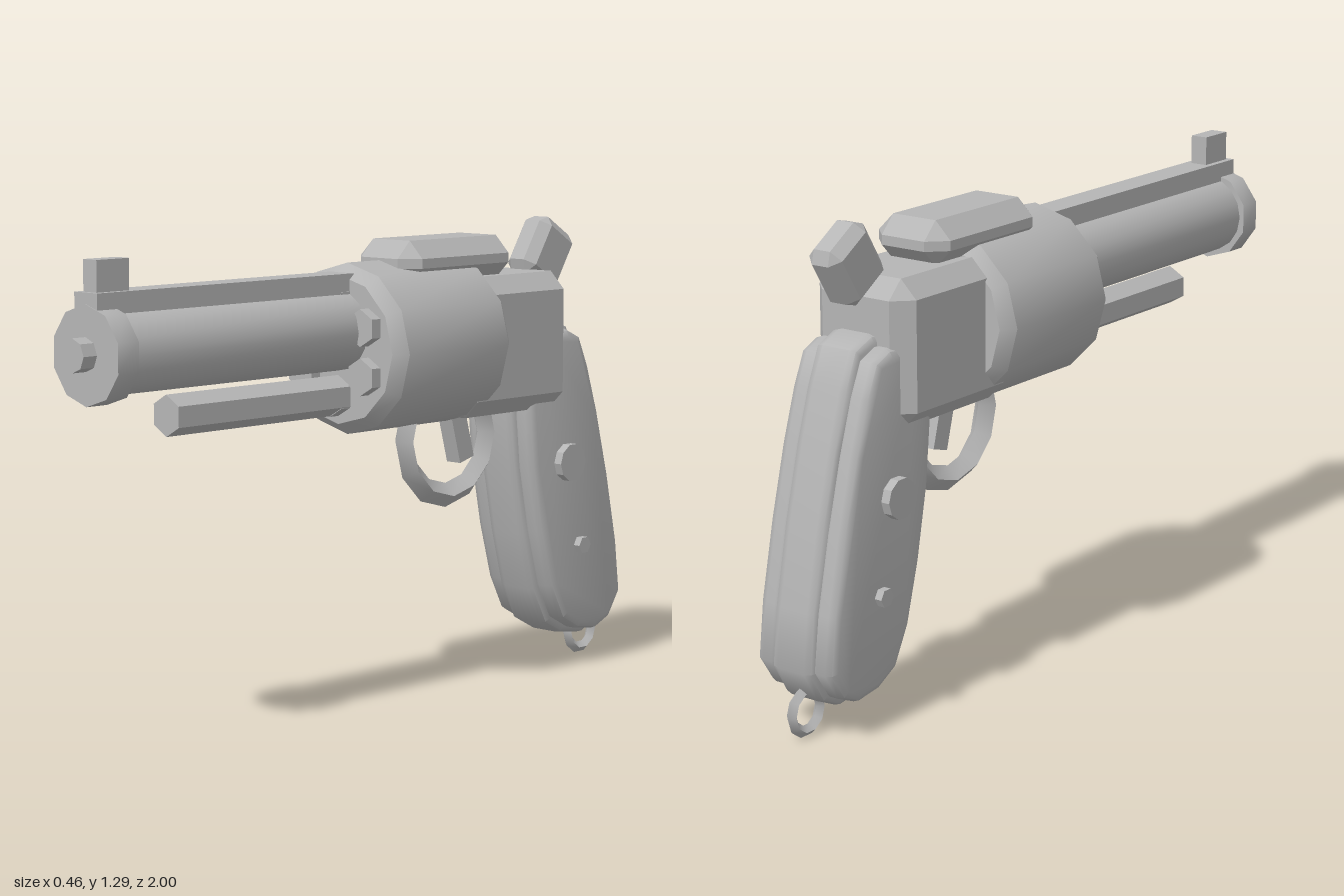
import * as THREE from 'three';
import { toCreasedNormals } from 'three/addons/utils/BufferGeometryUtils.js';
import { ConvexGeometry } from 'three/addons/geometries/ConvexGeometry.js';

export function createModel() {
  const group = new THREE.Group();
  const steel = new THREE.MeshStandardMaterial({ color: 0xb5b5b5 });
  steel.name = 'grey';

  const add = (name, geometry, x = 0, y = 0, z = 0) => {
    const mesh = new THREE.Mesh(geometry, steel);
    mesh.name = name;
    mesh.position.set(x, y, z);
    group.add(mesh);
    return mesh;
  };

  // Closed turned shape along z from [radius, z] pairs, running back to front
  const turned = (profile, sides) => {
    const pts = profile.map(([r, z]) => new THREE.Vector2(r, z));
    return toCreasedNormals(new THREE.LatheGeometry(pts, sides).rotateX(Math.PI / 2), 0.66);
  };
  const rod = (r, z0, z1, sides) => turned([[0, z0], [r, z0], [r, z1], [0, z1]], sides);

  // Box with all edges cut at 45 degrees
  const chamferBox = (w, h, d, c) => {
    const pts = [];
    for (const i of [-1, 1]) for (const j of [-1, 1]) for (const k of [-1, 1]) {
      const x = w / 2, y = h / 2, z = d / 2;
      pts.push(
        new THREE.Vector3(i * x, j * (y - c), k * (z - c)),
        new THREE.Vector3(i * (x - c), j * y, k * (z - c)),
        new THREE.Vector3(i * (x - c), j * (y - c), k * z));
    }
    return new ConvexGeometry(pts);
  };

  // Bevelled slab of a [z, y] outline, centred on x = 0
  const slab = (outline, width, bevel, size) => {
    const shape = new THREE.Shape(outline.map(([z, y]) => new THREE.Vector2(z, y)));
    const g = new THREE.ExtrudeGeometry(shape, {
      depth: width - 2 * bevel, bevelThickness: bevel, bevelSize: size,
      bevelOffset: -size, bevelSegments: 2, steps: 1,
    });
    g.translate(0, 0, bevel - width / 2).rotateY(-Math.PI / 2);
    return toCreasedNormals(g, 0.8);
  };

  // Ring of diamond section in the zy plane
  const ring = (r, tube, sides) =>
    toCreasedNormals(new THREE.TorusGeometry(r, tube, 4, sides).rotateY(Math.PI / 2), 0.75);

  // Barrel, muzzle, rib and sight
  add('barrel', rod(0.108, 0, 0.92, 16), 0, 1.027);
  add('muzzleRing', rod(0.127, 0.89, 0.957, 10), 0, 1.025);
  add('muzzleTip', rod(0.043, 0.94, 1, 8), 0, 1.028);
  add('barrelRib', new THREE.BoxGeometry(0.085, 0.1, 0.89), 0, 1.13, 0.51);
  add('frontSight', new THREE.BoxGeometry(0.05, 0.1, 0.105), 0, 1.21, 0.888);
  add('ejectorRod', rod(0.054, 0, 0.695, 6), 0, 0.853);

  // Drum with six chamber ends
  add('drum', turned([[0, -0.38], [0.2, -0.38], [0.23, -0.345], [0.23, 0.045], [0.2, 0.08], [0, 0.08]], 12), 0, 0.975);
  for (let i = 0; i < 6; i++) {
    const a = Math.PI / 6 + i * Math.PI / 3;
    add('chamber', rod(0.05, 0, 0.112, 6), 0.13 * Math.cos(a), 0.977 + 0.13 * Math.sin(a));
  }

  // Frame, top plate and hammer
  add('frame', chamferBox(0.31, 0.385, 0.45, 0.048), 0, 0.9575, -0.482);
  add('topPlate', chamferBox(0.23, 0.12, 0.44, 0.047), 0, 1.198, -0.297);
  add('hammer', chamferBox(0.105, 0.18, 0.16, 0.027), 0, 1.19, -0.737).rotation.x = -0.56;

  // Trigger and guard
  add('triggerGuard', ring(0.166, 0.034, 12), 0, 0.703, -0.342);
  add('trigger', new THREE.BoxGeometry(0.05, 0.18, 0.058), 0, 0.72, -0.38).rotation.x = 0.27;

  // Grip core and its two side panels
  const core = [
    [-0.54, 0.9], [-0.54, 0.77], [-0.56, 0.6], [-0.6, 0.4], [-0.645, 0.235], [-0.7, 0.13],
    [-0.77, 0.093], [-0.865, 0.08], [-0.93, 0.11], [-0.98, 0.195], [-0.963, 0.35],
    [-0.92, 0.56], [-0.87, 0.75], [-0.825, 0.89], [-0.785, 0.985], [-0.72, 1.012], [-0.6, 1],
  ];
  const panel = [
    [-0.56, 0.9], [-0.558, 0.77], [-0.575, 0.6], [-0.613, 0.41], [-0.658, 0.25], [-0.71, 0.15],
    [-0.78, 0.112], [-0.86, 0.101], [-0.92, 0.127], [-0.968, 0.2], [-0.95, 0.35],
    [-0.907, 0.55], [-0.857, 0.74], [-0.813, 0.875], [-0.775, 0.96], [-0.72, 0.985], [-0.62, 0.975],
  ];
  add('gripCore', slab(core, 0.135, 0.025, 0.018));
  for (const s of [1, -1]) {
    add('gripPanel', slab(panel, 0.075, 0.024, 0.022), s * 0.0875);
    for (const [r, y, z, x, sides] of [[0.054, 0.605, -0.715, 0.15, 10], [0.025, 0.36, -0.775, 0.146, 6]]) {
      const g = new THREE.CylinderGeometry(r, r, 0.06, sides).rotateZ(Math.PI / 2);
      add('gripScrew', toCreasedNormals(g, 0.3), s * (x - 0.03), y, z);
    }
  }
  add('lanyardRing', ring(0.054, 0.016, 10), 0, 0.073, -0.926);

  return group;
}
